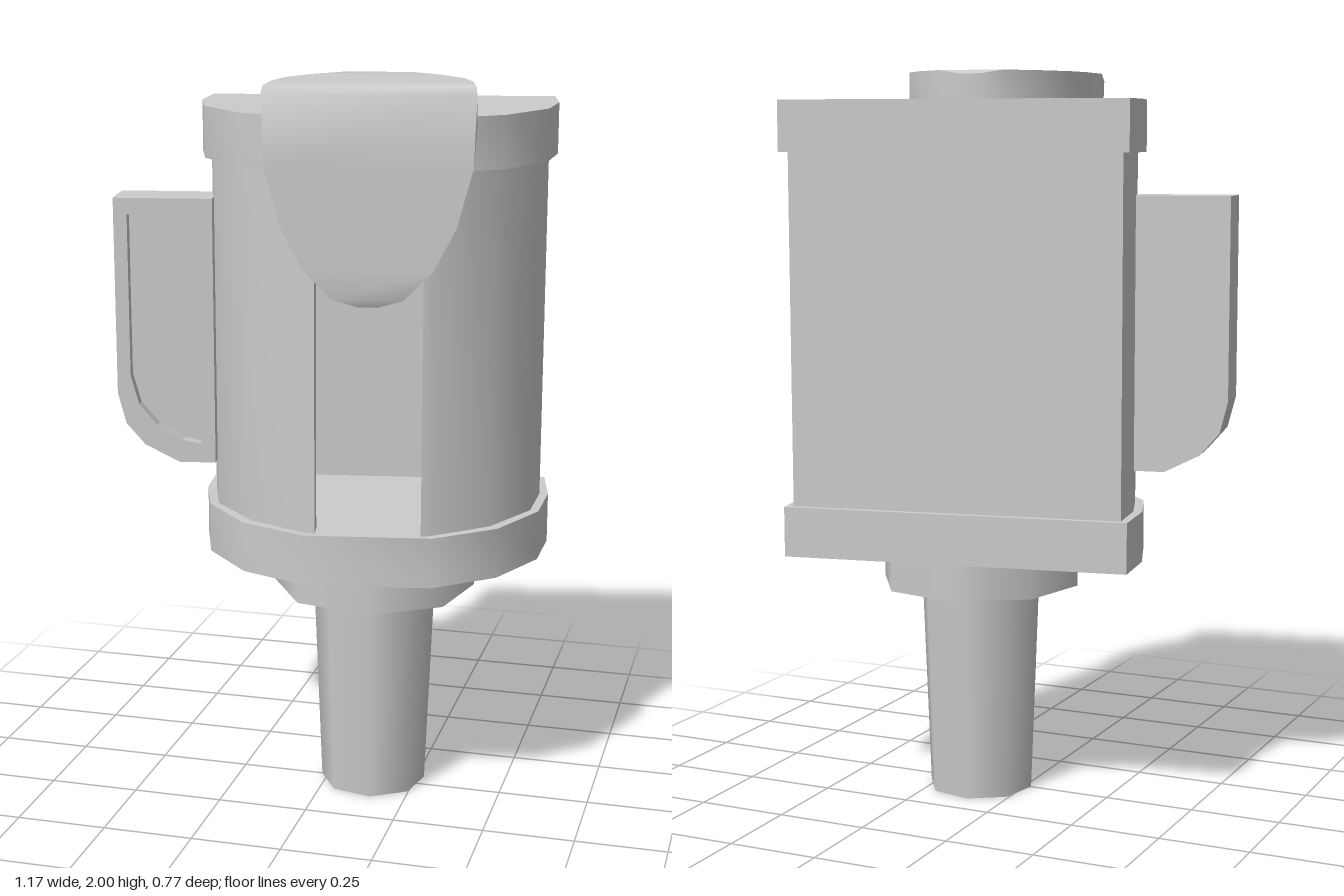
import * as THREE from 'three';
import { toCreasedNormals, mergeVertices } from 'three/addons/utils/BufferGeometryUtils.js';

const material = new THREE.MeshStandardMaterial({ color: 0xcccccc, side: THREE.DoubleSide });

function add(parent, name, geometry, y = 0, z = 0) {
  const mesh = new THREE.Mesh(geometry, material);
  mesh.name = name;
  mesh.position.set(0, y, z);
  parent.add(mesh);
  return mesh;
}

const toShape = (pts) => new THREE.Shape(pts.map(([x, y]) => new THREE.Vector2(x, y)));
const extrude = (shape, depth) => new THREE.ExtrudeGeometry(shape, { depth, bevelEnabled: false });

// Plan outline given as [x, z], raised to a height
function slab(pts, height) {
  const geo = extrude(toShape(pts.map(([x, z]) => [x, -z])), height);
  geo.rotateX(-Math.PI / 2);
  return toCreasedNormals(geo, 0.6);
}

const flip = (pts) => pts.map(([x, z]) => [-x, z]).reverse();

// Loft of four-cornered sections [halfWidth, outerY, outerZ, innerY, innerZ]
function loft(sections) {
  const pos = [], idx = [], n = sections.length;
  for (const [w, oy, oz, iy, iz] of sections) {
    pos.push(-w, oy, oz, w, oy, oz, w, iy, iz, -w, iy, iz);
  }
  for (let i = 0; i < n - 1; i++) {
    for (let j = 0; j < 4; j++) {
      const a = i * 4 + j, b = i * 4 + ((j + 1) % 4);
      idx.push(a, a + 4, b, b, a + 4, b + 4);
    }
  }
  const e = (n - 1) * 4;
  idx.push(0, 1, 2, 0, 2, 3, e, e + 2, e + 1, e, e + 3, e + 2);
  const geo = new THREE.BufferGeometry();
  geo.setAttribute('position', new THREE.Float32BufferAttribute(pos, 3));
  geo.setIndex(idx);
  return toCreasedNormals(mergeVertices(geo), 0.9);
}

export function createModel() {
  const model = new THREE.Group();
  model.name = 'mountedCanister';

  // Everything is laid out from the middle of the flat back, then turned
  const unit = new THREE.Group();
  unit.name = 'canister';
  unit.position.set(0.0775, 0, -0.3);
  unit.rotation.y = 0.177;
  model.add(unit);

  // Tapered open post and its collar
  add(unit, 'post', new THREE.CylinderGeometry(0.17, 0.147, 0.6, 8, 1, true), 0.3, 0.28);
  add(unit, 'collar', new THREE.CylinderGeometry(0.28, 0.28, 0.1, 8), 0.64, 0.28);

  // Matching D-shaped caps
  const capSide = [[0.475, 0], [0.482, 0.173], [0.452, 0.345], [0.34, 0.514], [0.17, 0.615]];
  const cap = slab([...capSide, ...flip(capSide)], 0.137);
  add(unit, 'bottomCap', cap, 0.69);
  add(unit, 'topCap', cap, 1.783);

  // Hollow body shell with a slot down the front
  const outer = [[0.455, 0.02], [0.458, 0.172], [0.43, 0.335], [0.32, 0.493], [0.165, 0.592], [0.14, 0.6]];
  const inner = [[0.14, 0.545], [0.285, 0.45], [0.38, 0.315], [0.408, 0.17], [0.408, 0.03]];
  const half = [...outer, ...inner];
  add(unit, 'bodyShell', slab([...half, ...flip(half)], 0.96), 0.825);

  // Side handle: solid plate with a raised frame on its front
  const handlePts = [[-0.44, 1.67], [-0.709, 1.67], [-0.709, 1.13], [-0.687, 1.045], [-0.635, 0.985],
    [-0.54, 0.937], [-0.44, 0.937]];
  const recessPts = [[-0.48, 1.625], [-0.672, 1.625], [-0.672, 1.18], [-0.65, 1.1], [-0.6, 1.04],
    [-0.53, 1.0], [-0.48, 0.99]];
  const handle = new THREE.Group();
  handle.name = 'handle';
  unit.add(handle);
  add(handle, 'handlePlate', extrude(toShape(handlePts), 0.108), 0, 0.174);
  const frame = toShape(handlePts);
  frame.holes.push(toShape(recessPts));
  add(handle, 'handleFrame', extrude(frame, 0.035), 0, 0.282);

  // Folded tongue: rounded on top at the rear, hanging down over the front
  const top = [[0.03, 0.185], [0.09, 0.205], [0.172, 0.29], [0.23, 0.385], [0.255, 0.485]]
    .map(([w, z]) => [w, z < 0.2 ? 1.99 : 2, z, 1.915, z]);
  const bend = [[0.265, 2, 0.63, 1.915, 0.555], [0.268, 1.98, 0.65, 1.9, 0.56]];
  const drop = [[0.262, 1.8], [0.222, 1.65], [0.165, 1.54], [0.09, 1.465], [0.025, 1.445]]
    .map(([w, y]) => [w, y, y < 1.45 ? 0.64 : 0.65, y, 0.565]);
  add(unit, 'foldedTongue', loft([...top, ...bend, ...drop]));

  return model;
}
